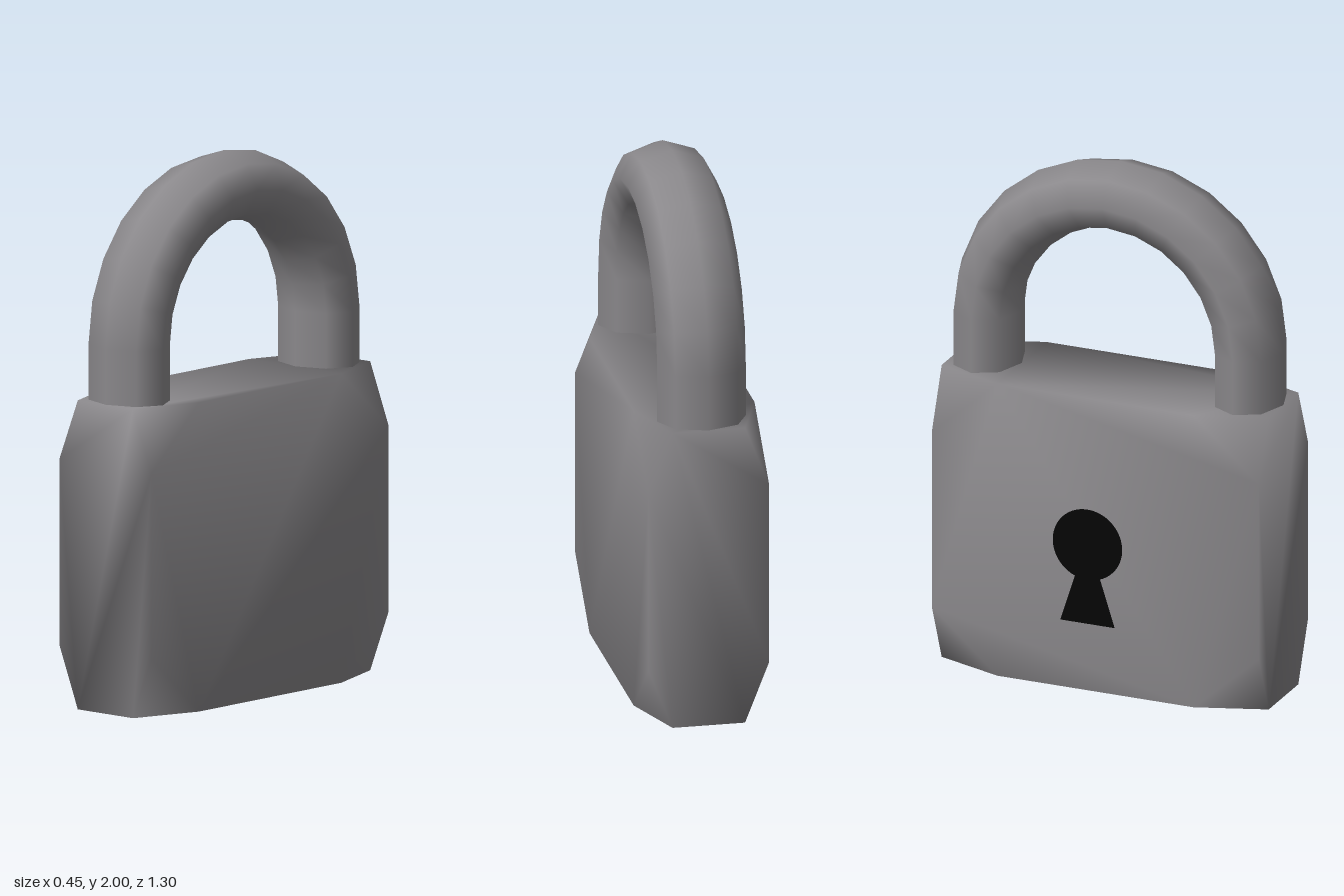
import * as THREE from 'three';
import { mergeGeometries, mergeVertices } from 'three/addons/utils/BufferGeometryUtils.js';
import { ConvexGeometry } from 'three/addons/geometries/ConvexGeometry.js';

const HALF = new THREE.Vector3(0.225, 0.5725, 0.65); // half extents of the body
const KEEP = 0.6; // share of each edge left after cutting the corners

// Box with every corner cut off, shaded smoothly over its edges
function cutCornerBox() {
  const points = [];
  for (const sx of [-1, 1]) for (const sy of [-1, 1]) for (const sz of [-1, 1]) {
    for (const axis of ['x', 'y', 'z']) {
      const p = new THREE.Vector3(sx, sy, sz).multiply(HALF);
      p[axis] *= KEEP;
      points.push(p);
    }
  }
  let geometry = new ConvexGeometry(points);
  geometry.deleteAttribute('normal');
  geometry = mergeVertices(geometry, 1e-4);
  geometry.computeVertexNormals();
  return geometry.translate(0, HALF.y, 0);
}

// Half ring on two straight legs, widened along x
function shackleGeometry() {
  const radius = 0.52, tube = 0.13, foot = 1.14, spring = 1.35;
  const arch = new THREE.TorusGeometry(radius, tube, 8, 12, Math.PI)
    .rotateY(Math.PI / 2).translate(0, spring, 0);
  const legs = [-1, 1].map((side) =>
    new THREE.CylinderGeometry(tube, tube, spring - foot, 8, 1, true)
      .translate(0, (spring + foot) / 2, side * radius));
  return mergeGeometries([arch, ...legs]).scale(0.165 / tube, 1, 1);
}

// Round hole with a flared slot below, facing -x
function keyholeGeometry() {
  const r = 0.138, cy = 0.572, neck = 0.05, flare = 0.108, bottom = 0.262;
  const a = Math.asin(neck / r);
  const shape = new THREE.Shape();
  shape.moveTo(-flare, bottom);
  shape.lineTo(flare, bottom);
  shape.lineTo(neck, cy - r * Math.cos(a));
  shape.absarc(0, cy, r, -Math.PI / 2 + a, Math.PI * 1.5 - a, false);
  shape.closePath();
  return new THREE.ShapeGeometry(shape, 24)
    .rotateY(-Math.PI / 2).translate(-HALF.x - 0.003, 0, -0.03);
}

export function createModel() {
  const metal = new THREE.MeshStandardMaterial({ color: 0x8a888b });
  metal.name = 'grey metal';
  const black = new THREE.MeshStandardMaterial({ color: 0x050505 });
  black.name = 'keyhole black';

  const group = new THREE.Group();
  group.name = 'padlock';
  const add = (name, geometry, material) => {
    const mesh = new THREE.Mesh(geometry, material);
    mesh.name = name;
    group.add(mesh);
  };
  add('body', cutCornerBox(), metal);
  add('shackle', shackleGeometry(), metal);
  add('keyhole', keyholeGeometry(), black);
  return group;
}
